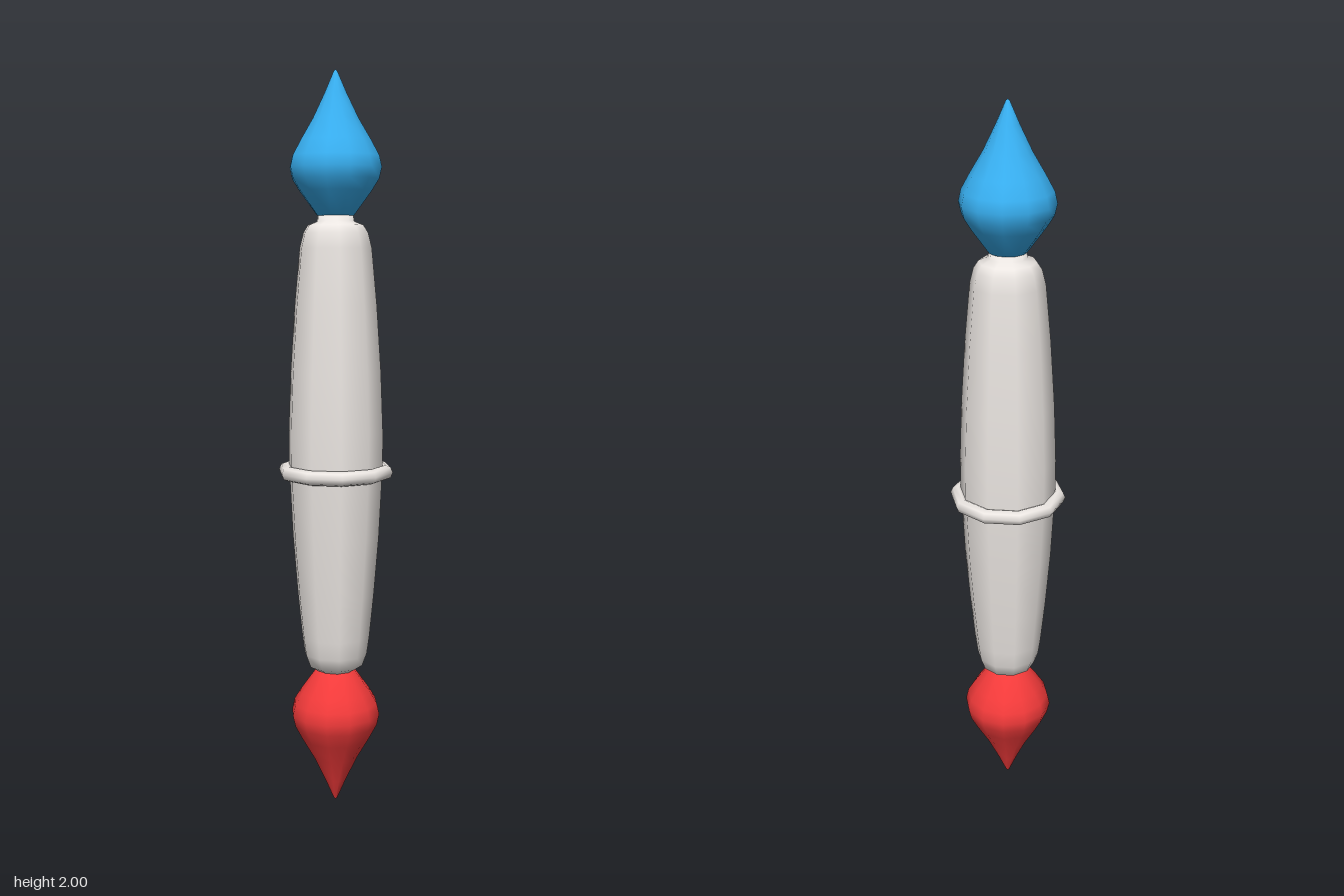
import * as THREE from 'three';

const material = (color) => new THREE.MeshStandardMaterial({ color });

// Turned part from [radius, height] points listed bottom to top, with a corner on the x axis.
function turned(name, profile, sides, mat) {
  const points = profile.map(([r, y]) => new THREE.Vector2(r, y));
  const mesh = new THREE.Mesh(new THREE.LatheGeometry(points, sides, Math.PI / 2), mat);
  mesh.name = name;
  return mesh;
}

export function createModel() {
  const model = new THREE.Group();
  model.name = 'floatStick';
  const white = material(0xebe6e2);
  const blue = material(0x38b0f2);
  const red = material(0xf23a3a);

  // Tapered handle halves, meeting under the collar
  model.add(turned('lowerBody', [
    [0, 0.38], [0.05, 0.38], [0.075, 0.395], [0.088, 0.43], [0.095, 0.48],
    [0.107, 0.6], [0.12, 0.76], [0.127, 0.9], [0.128, 0.94],
  ], 10, white));
  model.add(turned('upperBody', [
    [0.13, 0.94], [0.13, 1.05], [0.124, 1.21], [0.112, 1.39], [0.098, 1.54],
    [0.088, 1.58], [0.075, 1.6], [0.05, 1.61], [0.048, 1.63], [0, 1.63],
  ], 10, white));

  // Ten-sided collar
  const collar = new THREE.Mesh(new THREE.TorusGeometry(0.138, 0.02, 8, 10), white);
  collar.name = 'collar';
  collar.rotation.x = Math.PI / 2;
  collar.position.y = 0.94;
  model.add(collar);

  // Drop-shaped tips: the bottom profile is the top one mirrored
  const drop = [
    [0, 1.62], [0.05, 1.625], [0.098, 1.69], [0.117, 1.72], [0.124, 1.75],
    [0.117, 1.78], [0.095, 1.82], [0.062, 1.875], [0.03, 1.94], [0.005, 1.996], [0, 2],
  ];
  model.add(turned('topTip', drop, 12, blue));
  const mirrored = drop.map(([r, y]) => [r, (2 - y) * 1.03]).reverse();
  model.add(turned('bottomTip', mirrored, 12, red));

  return model;
}
